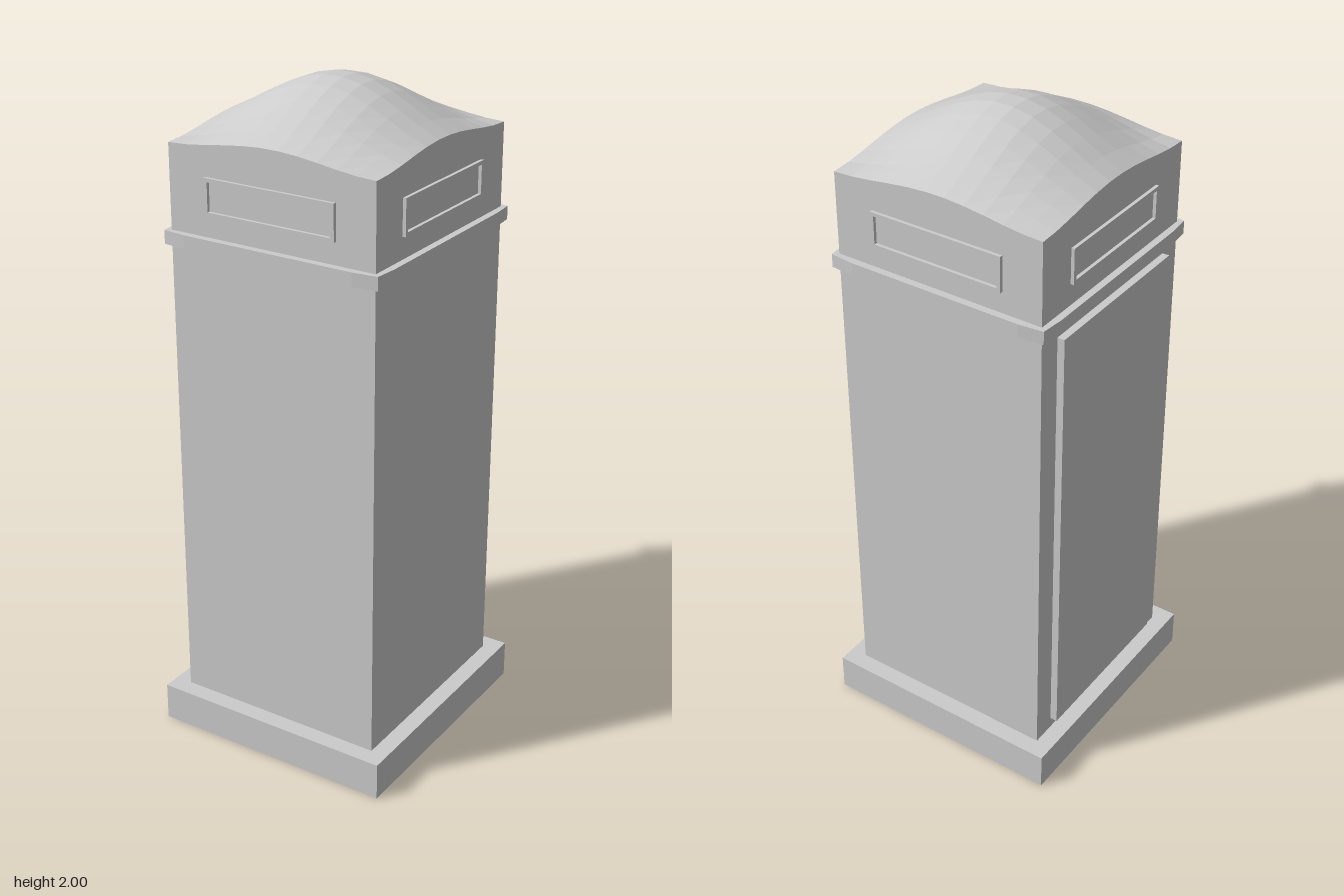
import * as THREE from 'three';

const material = new THREE.MeshStandardMaterial({ color: 0xcccccc, flatShading: true });
const HALF_X = 0.33, HALF_Z = 0.338;

function add(parent, name, geometry) {
  const mesh = new THREE.Mesh(geometry, material);
  mesh.name = name;
  parent.add(mesh);
  return mesh;
}

function block(parent, name, w, y0, y1, d, x = 0, z = 0) {
  const mesh = add(parent, name, new THREE.BoxGeometry(w, y1 - y0, d));
  mesh.position.set(x, (y0 + y1) / 2, z);
  return mesh;
}

// Head: gridded box whose top swells into a dome and arches the wall tops
function headGeometry(y0) {
  const geo = new THREE.BoxGeometry(2 * HALF_X, 1, 2 * HALF_Z, 11, 1, 11);
  const p = geo.attributes.position;
  for (let i = 0; i < p.count; i++) {
    if (p.getY(i) < 0) {
      p.setY(i, y0);
      continue;
    }
    const r = Math.min(1, Math.hypot(p.getX(i), p.getZ(i)) / 0.472);
    p.setY(i, 1.835 + 0.165 * Math.cos(r * Math.PI / 2) ** 2);
  }
  geo.computeVertexNormals();
  return geo;
}

// Collar: slightly bowed outline with clipped corners
function collarGeometry(height) {
  const quarter = [[0.351, 0.28], [0.345, 0.352], [0.27, 0.36]];
  const points = [
    ...quarter,
    ...quarter.map(([x, z]) => [-x, z]).reverse(),
    ...quarter.map(([x, z]) => [-x, -z]),
    ...quarter.map(([x, z]) => [x, -z]).reverse(),
  ].map(([x, z]) => new THREE.Vector2(x, z));
  const geo = new THREE.ExtrudeGeometry(new THREE.Shape(points), { depth: height, bevelEnabled: false });
  return geo.rotateX(-Math.PI / 2);
}

// Rectangular rim around a flush panel
function frameGeometry(halfW, halfH, rim, depth) {
  const rect = (Type, w, h) => new Type([[-w, -h], [w, -h], [w, h], [-w, h]].map(([x, y]) => new THREE.Vector2(x, y)));
  const shape = rect(THREE.Shape, halfW, halfH);
  shape.holes.push(rect(THREE.Path, halfW - rim, halfH - rim));
  return new THREE.ExtrudeGeometry(shape, { depth, bevelEnabled: false });
}

export function createModel() {
  const model = new THREE.Group();
  model.name = 'pillarBin';

  block(model, 'plinth', 0.764, 0, 0.115, 0.782);
  block(model, 'body', 2 * HALF_X, 0.115, 1.56, 2 * HALF_Z);
  block(model, 'door', 0.03, 0.15, 1.52, 0.53, -0.337);
  add(model, 'collar', collarGeometry(0.04)).position.y = 1.548;
  add(model, 'domedHead', headGeometry(1.56));

  // One slot frame on each of the four sides
  for (let i = 0; i < 4; i++) {
    const side = new THREE.Group();
    side.name = 'slotFrame' + (i + 1);
    side.rotation.y = i * Math.PI / 2;
    const face = i % 2 ? HALF_X : HALF_Z;
    const frame = add(side, 'rim', frameGeometry(0.208, 0.053, 0.011, 0.014));
    frame.position.set(0, 1.705, face - 0.004);
    model.add(side);
  }
  return model;
}
